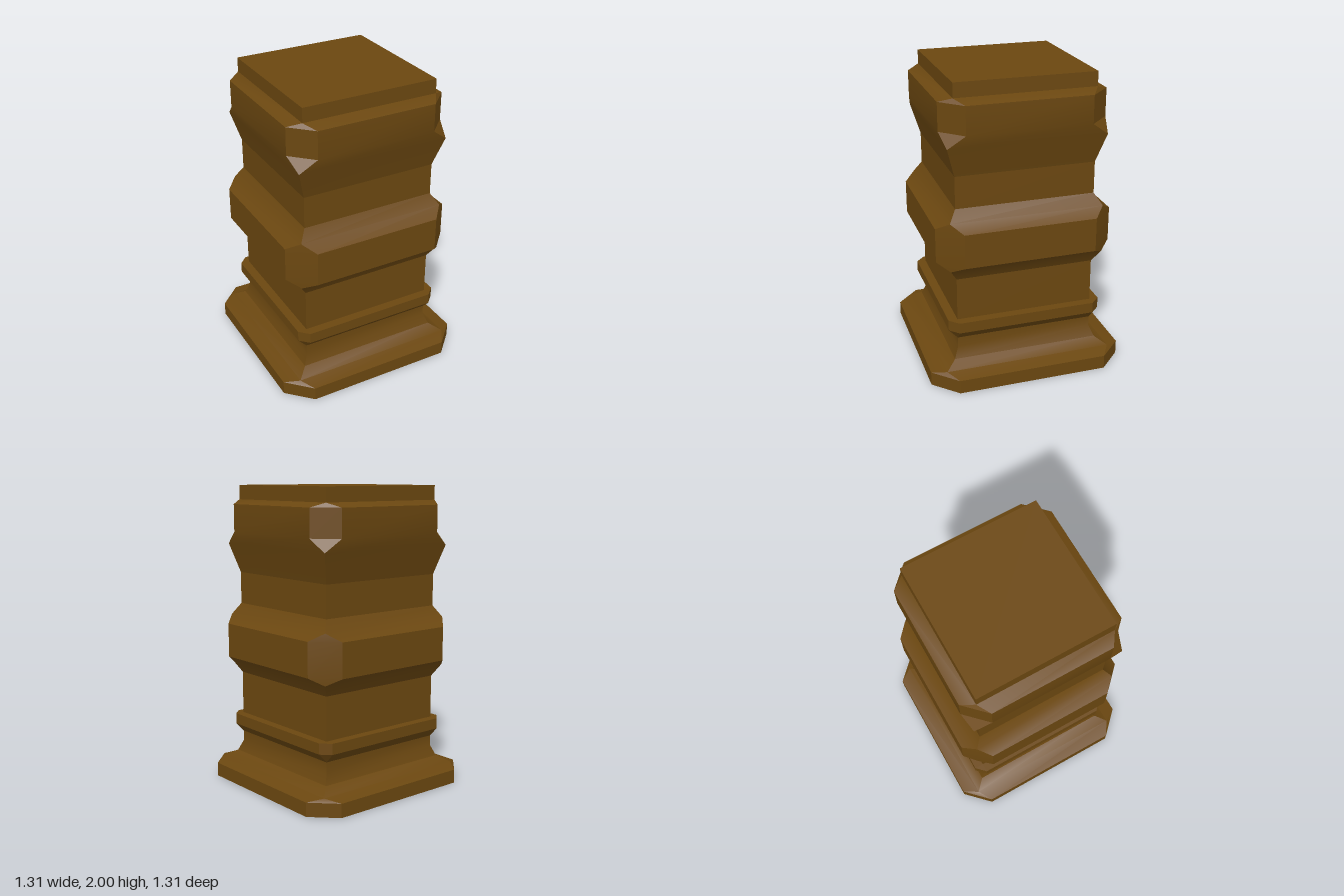
import * as THREE from 'three';
import { toCreasedNormals } from 'three/addons/utils/BufferGeometryUtils.js';

const S = 0.46; // half-width of the plain square shaft

// Square ring with cut corners: w = half-width, f = half-length of the flat side.
// f equal to w gives a sharp corner.
function ring([y, w, f = w]) {
  return [[f, w], [w, f], [w, -f], [f, -w], [-f, -w], [-w, -f], [-w, f], [-f, w]]
    .map(([x, z]) => new THREE.Vector3(x, y, z));
}

// Skin a stack of rings, with optional end caps
function loft(levels, { bottom = false, top = false } = {}) {
  const rings = levels.map(ring);
  const pos = [];
  const tri = (a, b, c) => {
    const area = b.clone().sub(a).cross(c.clone().sub(a)).length();
    if (area > 1e-7) for (const p of [a, b, c]) pos.push(p.x, p.y, p.z);
  };
  for (let k = 0; k < rings.length - 1; k++) {
    const a = rings[k], b = rings[k + 1];
    for (let i = 0; i < 8; i++) {
      const j = (i + 1) % 8;
      tri(a[i], a[j], b[j]);
      tri(a[i], b[j], b[i]);
    }
  }
  const first = rings[0], last = rings[rings.length - 1];
  for (let i = 1; i < 7; i++) {
    if (bottom) tri(first[0], first[i + 1], first[i]);
    if (top) tri(last[0], last[i], last[i + 1]);
  }
  const geo = new THREE.BufferGeometry();
  geo.setAttribute('position', new THREE.Float32BufferAttribute(pos, 3));
  return toCreasedNormals(geo, 0.5);
}

export function createModel() {
  const model = new THREE.Group();
  model.name = 'pillar';
  const wood = new THREE.MeshStandardMaterial({ color: 0x6b4710 });

  const add = (name, levels, caps) => {
    const mesh = new THREE.Mesh(loft(levels, caps), wood);
    mesh.name = name;
    model.add(mesh);
  };

  // Foot: chamfered slab curving up into the shaft
  add('plinth', [
    [0, 0.655, 0.5], [0.092, 0.655, 0.5], [0.113, 0.56],
    [0.157, 0.49], [0.23, S], [0.297, S],
  ], { bottom: true });

  // Thin band with a flat upper ledge
  add('lowerBand', [
    [0.297, S], [0.36, 0.52, 0.46], [0.432, 0.52, 0.46], [0.432, S],
  ]);

  add('lowerShaft', [[0.432, S], [0.72, S]]);

  // Wide collar at mid height
  add('middleCollar', [
    [0.72, S], [0.8, 0.507], [0.848, 0.585, 0.435],
    [1.075, 0.585, 0.435], [1.127, 0.507], [1.203, S],
  ]);

  add('upperShaft', [[1.203, S], [1.415, S]]);

  // Flared head
  add('capital', [
    [1.415, S], [1.61, 0.516], [1.692, 0.543, 0.405],
    [1.876, 0.543, 0.405], [1.905, S],
  ]);

  // Square block on top
  add('topBlock', [[1.905, S], [2, S]], { top: true });

  return model;
}
